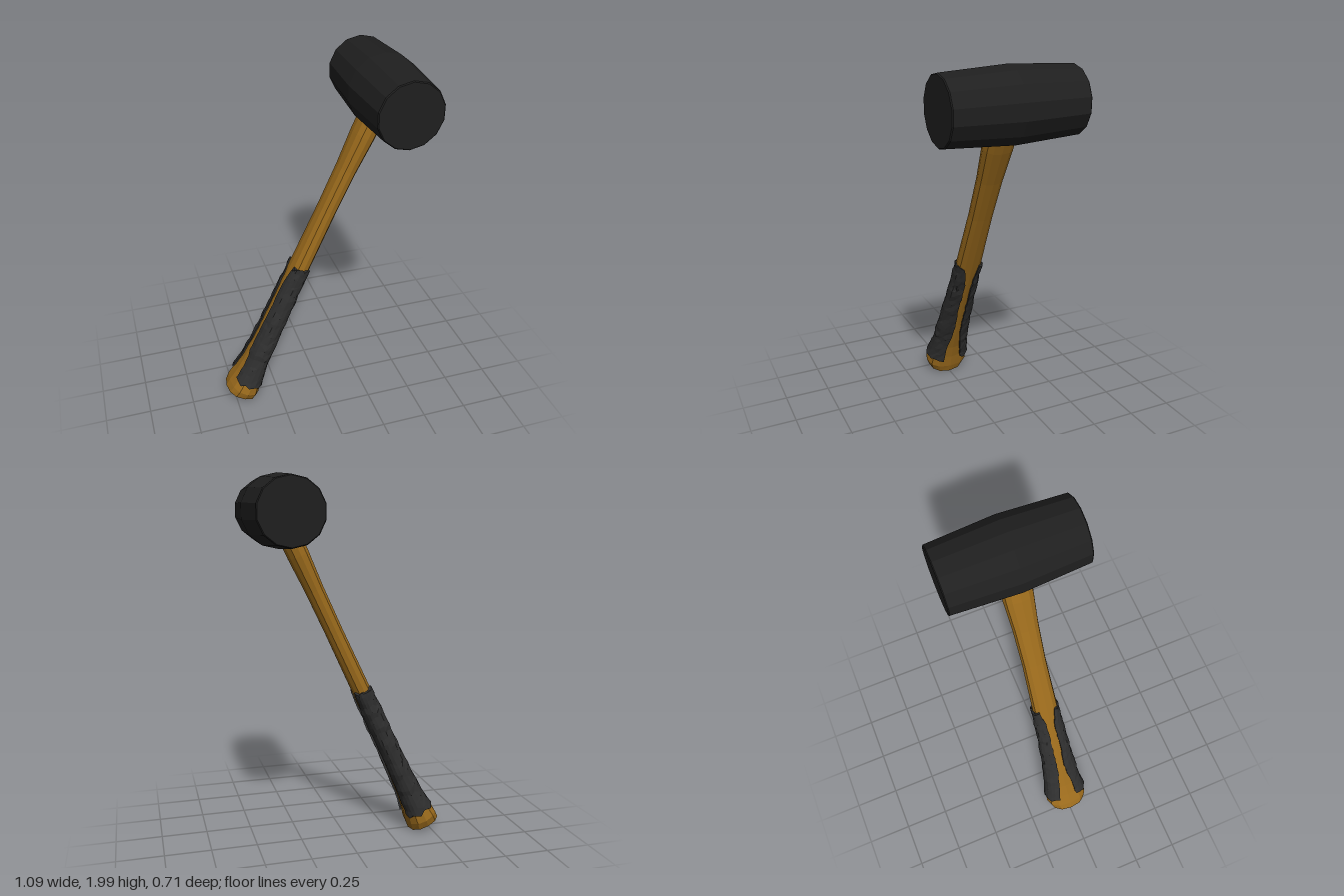
import * as THREE from 'three';

const wood = new THREE.MeshStandardMaterial({ color: 0x9a6a1c, flatShading: true });
const gripMat = new THREE.MeshStandardMaterial({ color: 0x2e2e2e, flatShading: true });
const rubber = new THREE.MeshStandardMaterial({ color: 0x1f1f1f, flatShading: true });

// handle profile: distance along the shaft, half width, half depth
const PROFILE = [
  [0, 0.092, 0.108], [0.045, 0.089, 0.126], [0.12, 0.074, 0.118], [0.2, 0.064, 0.105],
  [0.4, 0.055, 0.09], [0.6, 0.052, 0.079], [0.9, 0.05, 0.071], [1.25, 0.048, 0.065],
  [1.5, 0.05, 0.069], [1.7, 0.058, 0.08], [1.85, 0.058, 0.08],
];
const ROUND = 0.85; // below 1 squares the oval section slightly

let seed = 7;
const rand = () => (seed = (seed * 16807) % 2147483647) / 2147483647;

function sample(s) {
  let i = 0;
  while (i < PROFILE.length - 2 && s > PROFILE[i + 1][0]) i++;
  const [p, q] = [PROFILE[i], PROFILE[i + 1]];
  const k = (s - p[0]) / (q[0] - p[0]);
  return [p[1] + (q[1] - p[1]) * k, p[2] + (q[2] - p[2]) * k];
}

// point on the oval section, pushed outward by "lift"
function sectionPoint(s, t, lift = 0) {
  const [a, b] = sample(s);
  const c = Math.cos(t), d = Math.sin(t);
  const pow = (v) => Math.sign(v) * Math.abs(v) ** ROUND;
  return [(a + lift) * pow(c), s, (b + lift) * pow(d)];
}

// skin over equal-sized closed rings, with fan caps
function loft(rings) {
  const n = rings[0].length, pos = rings.flat(2), idx = [];
  for (let i = 0; i < rings.length - 1; i++)
    for (let j = 0; j < n; j++) {
      const a = i * n + j, b = i * n + (j + 1) % n;
      idx.push(a, a + n, b, b, a + n, b + n);
    }
  [0, rings.length - 1].forEach((r) => {
    const centre = [0, 1, 2].map((k) => rings[r].reduce((m, p) => m + p[k] / n, 0));
    const c = pos.length / 3;
    pos.push(...centre);
    for (let j = 0; j < n; j++) {
      const a = r * n + j, b = r * n + (j + 1) % n;
      idx.push(c, ...(r === 0 ? [a, b] : [b, a]));
    }
  });
  const g = new THREE.BufferGeometry();
  g.setAttribute('position', new THREE.Float32BufferAttribute(pos, 3));
  g.setIndex(idx);
  g.computeVertexNormals();
  return g;
}

function named(name, geometry, material) {
  const m = new THREE.Mesh(geometry, material);
  m.name = name;
  return m;
}

// wrinkled wrap over one broad side, leaving bare wood strips between
function gripGeometry(side) {
  const rows = 24, cols = 9, rings = [];
  for (let i = 0; i <= rows; i++) {
    const k = i / rows, s = 0.1 + 0.79 * k;
    const strip = 0.018 + 0.03 * Math.max(0, 1 - k * 3) + 0.02 * Math.max(0, k * 8 - 7) + 0.006 * rand();
    const lo = Math.asin((strip / sample(s)[1]) ** (1 / ROUND));
    const fold = 0.005 * rand(), ring = [];
    for (let j = 0; j <= cols; j++) {
      const t = lo + (Math.PI - 2 * lo) * j / cols + side * Math.PI;
      const lift = 0.003 + fold + 0.005 * rand();
      ring.push(sectionPoint(s + (rand() - 0.5) * 0.025, t, lift));
    }
    rings.push(ring);
  }
  return loft(rings);
}

export function createModel() {
  const model = new THREE.Group();
  model.name = 'mallet';

  // leaning handle with flared foot
  const handle = new THREE.Group();
  handle.name = 'handle';
  handle.position.set(-0.465, 0.045, 0);
  handle.rotation.z = -0.435;
  const sides = 12;
  const rings = PROFILE.map(([s]) =>
    Array.from({ length: sides }, (_, j) => sectionPoint(s, (j / sides) * Math.PI * 2)));
  handle.add(named('shaft', loft(rings), wood));
  handle.add(named('frontGrip', gripGeometry(0), gripMat));
  handle.add(named('backGrip', gripGeometry(1), gripMat));
  model.add(handle);

  // barrel-shaped head, widest in the middle
  const outline = [[0, -0.355], [0.167, -0.355], [0.172, -0.35], [0.191, 0],
    [0.172, 0.35], [0.167, 0.355], [0, 0.355]].map(([r, y]) => new THREE.Vector2(r, y));
  const head = named('head', new THREE.LatheGeometry(outline, 14), rubber);
  head.rotation.x = Math.PI / 2;
  head.position.set(0.355, 1.81, 0);
  model.add(head);

  return model;
}
